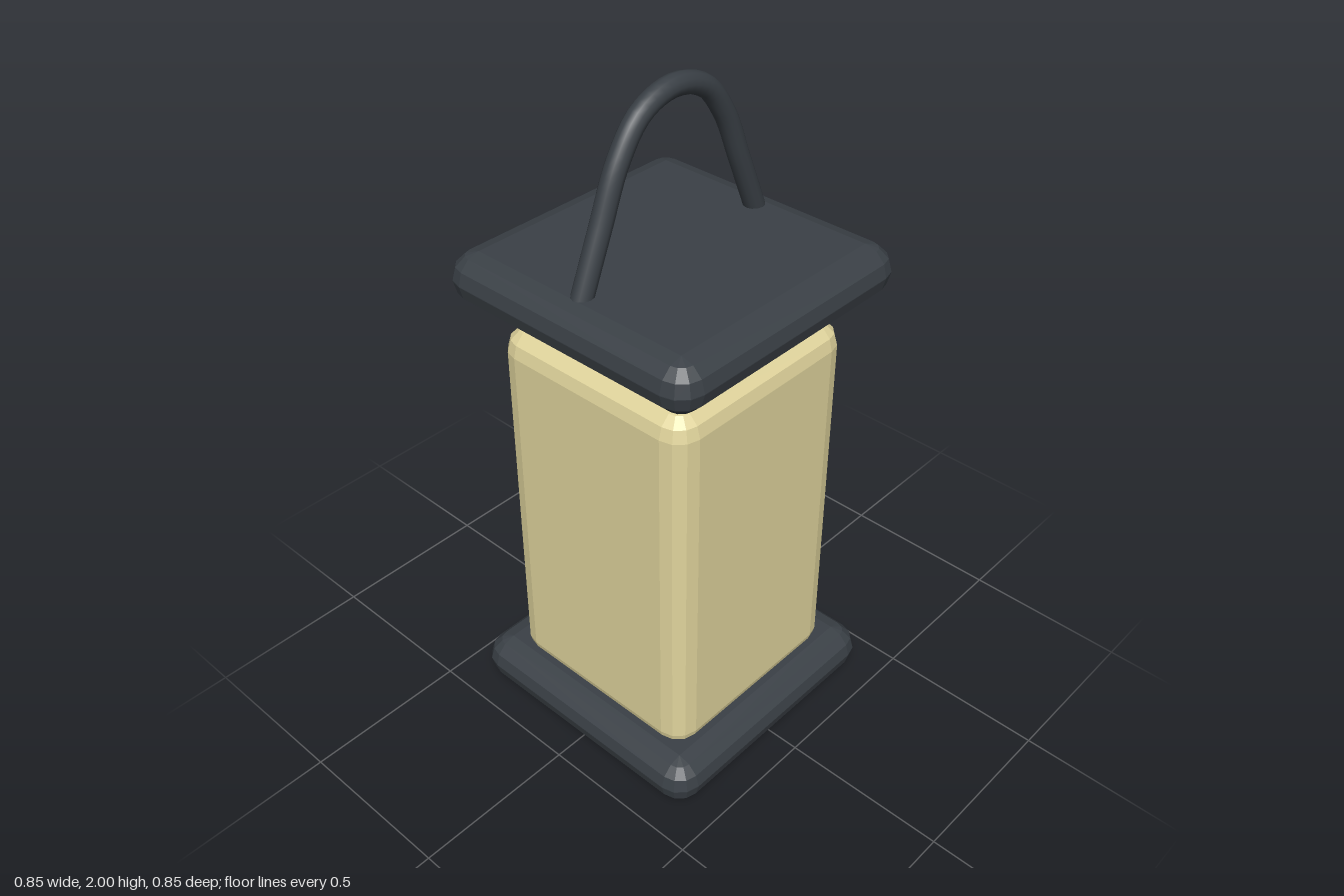
import * as THREE from 'three';
import { ConvexGeometry } from 'three/addons/geometries/ConvexGeometry.js';

// Box with three-step rounded edges and flat facets
function bevelBox(w, h, d, r) {
  const points = [];
  for (const sx of [-1, 1]) for (const sy of [-1, 1]) for (const sz of [-1, 1]) {
    for (let i = 0; i <= 3; i++) for (let j = 0; j <= 3; j++) {
      const a = (i * Math.PI) / 6, b = (j * Math.PI) / 6;
      points.push(new THREE.Vector3(
        sx * (w / 2 - r + r * Math.cos(a) * Math.cos(b)),
        sy * (h / 2 - r + r * Math.sin(a)),
        sz * (d / 2 - r + r * Math.cos(a) * Math.sin(b))
      ));
    }
  }
  return new ConvexGeometry(points);
}

export function createModel() {
  const group = new THREE.Group();
  const darkMetal = new THREE.MeshStandardMaterial({ color: 0x3a4046 });
  const warmGlass = new THREE.MeshStandardMaterial({ color: 0xe0d49c });

  const add = (name, geometry, material, y = 0) => {
    const mesh = new THREE.Mesh(geometry, material);
    mesh.name = name;
    mesh.position.y = y;
    group.add(mesh);
  };

  // Matching base and lid slabs
  const slab = bevelBox(0.85, 0.15, 0.85, 0.074);
  add('base', slab, darkMetal, 0.078);
  add('lid', slab, darkMetal, 1.453);

  // Glowing lantern body, sunk into the base
  add('lanternBody', bevelBox(0.67, 1.2, 0.67, 0.072), warmGlass, 0.7);

  // Arched carrying handle, its ends sunk into the lid
  const half = [[0.338, 1.49], [0.322, 1.53], [0.255, 1.69], [0.19, 1.84], [0.113, 1.935]];
  const path = [
    ...half.map(([x, y]) => new THREE.Vector3(-x, y, 0)),
    new THREE.Vector3(0, 1.97, 0),
    ...half.slice().reverse().map(([x, y]) => new THREE.Vector3(x, y, 0)),
  ];
  add('handle', new THREE.TubeGeometry(new THREE.CatmullRomCurve3(path), 48, 0.03, 12), darkMetal);

  return group;
}
